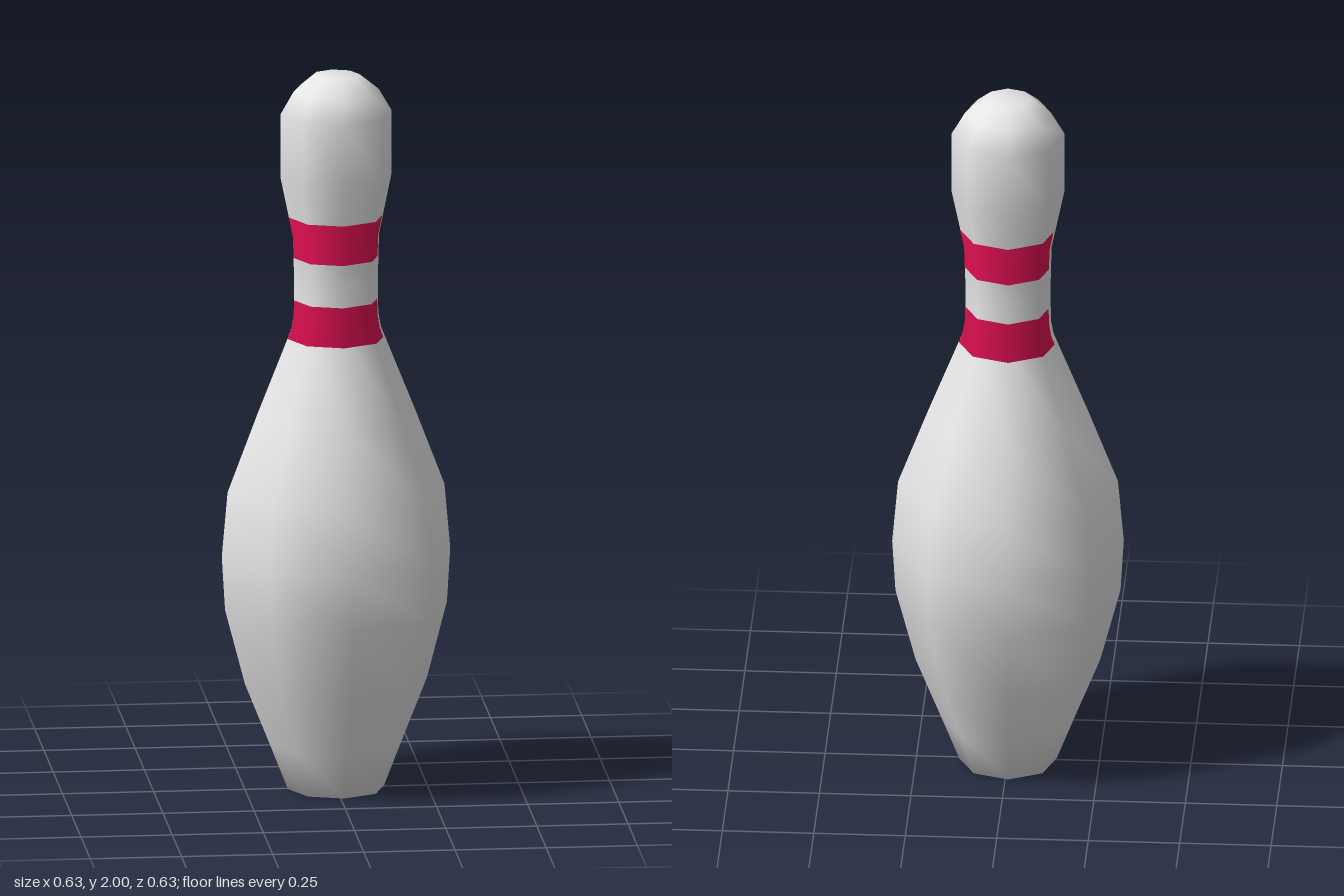
import * as THREE from 'three';

const SIDES = 8;
const TURN = 0.065; // slight twist of the octagonal section about y
const STEP = (Math.PI * 2) / SIDES;

// Outline as [radius, height], base to crown
const PROFILE = [
  [0, 0], [0.133, 0], [0.184, 0.13], [0.252, 0.3], [0.307, 0.51], [0.316, 0.66],
  [0.3, 0.84], [0.22, 1.05], [0.124, 1.29], [0.117, 1.33], [0.116, 1.43], [0.119, 1.55],
  [0.154, 1.72], [0.154, 1.895], [0.118, 1.957], [0.065, 2], [0, 2],
];

function radiusAt(y) {
  const i = PROFILE.findIndex((p, k) => k > 1 && p[1] >= y);
  const [r0, y0] = PROFILE[i - 1];
  const [r1, y1] = PROFILE[i];
  return r0 + ((r1 - r0) * (y - y0)) / (y1 - y0);
}

// Point on the octagon of radius r at a fractional corner number
function corner(r, c) {
  const k = Math.floor(c);
  const t = c - k;
  const a = TURN + k * STEP;
  const b = a + STEP;
  return [
    r * (Math.sin(a) * (1 - t) + Math.sin(b) * t),
    r * (Math.cos(a) * (1 - t) + Math.cos(b) * t),
  ];
}

// Half stripe hugging the neck, leaving a narrow gap at each side
function stripeGeometry(low, high) {
  const heights = [low, ...PROFILE.map((p) => p[1]).filter((y) => y > low && y < high), high];
  const columns = [-1.96, -1, 0, 1, 1.78];
  const positions = [];
  const normals = [];
  const index = [];
  heights.forEach((y, row) => {
    columns.forEach((c, col) => {
      const [x, z] = corner(radiusAt(y) + 0.002, c);
      const n = new THREE.Vector3(x, 0, z).normalize();
      positions.push(x, y, z);
      normals.push(n.x, n.y, n.z);
      if (row && col) {
        const d = row * columns.length + col;
        const b = d - columns.length;
        index.push(b - 1, b, d, b - 1, d, d - 1);
      }
    });
  });
  const geometry = new THREE.BufferGeometry();
  geometry.setAttribute('position', new THREE.Float32BufferAttribute(positions, 3));
  geometry.setAttribute('normal', new THREE.Float32BufferAttribute(normals, 3));
  geometry.setIndex(index);
  return geometry;
}

export function createModel() {
  const white = new THREE.MeshStandardMaterial({ color: 0xebebeb });
  white.name = 'white';
  const red = new THREE.MeshStandardMaterial({ color: 0xe01052 });
  red.name = 'crimson';

  const model = new THREE.Group();
  model.name = 'bowlingPin';

  // Pin body
  const points = PROFILE.map(([r, y]) => new THREE.Vector2(r, y));
  const body = new THREE.Mesh(new THREE.LatheGeometry(points, SIDES, TURN), white);
  body.name = 'body';
  model.add(body);

  // Two neck stripes, each a front and a back half
  const stripes = { lowerStripe: [1.265, 1.373], upperStripe: [1.492, 1.606] };
  for (const [name, [low, high]] of Object.entries(stripes)) {
    const geometry = stripeGeometry(low, high);
    ['Front', 'Back'].forEach((side, i) => {
      const half = new THREE.Mesh(geometry, red);
      half.name = name + side;
      half.rotation.y = i * Math.PI;
      model.add(half);
    });
  }
  return model;
}
